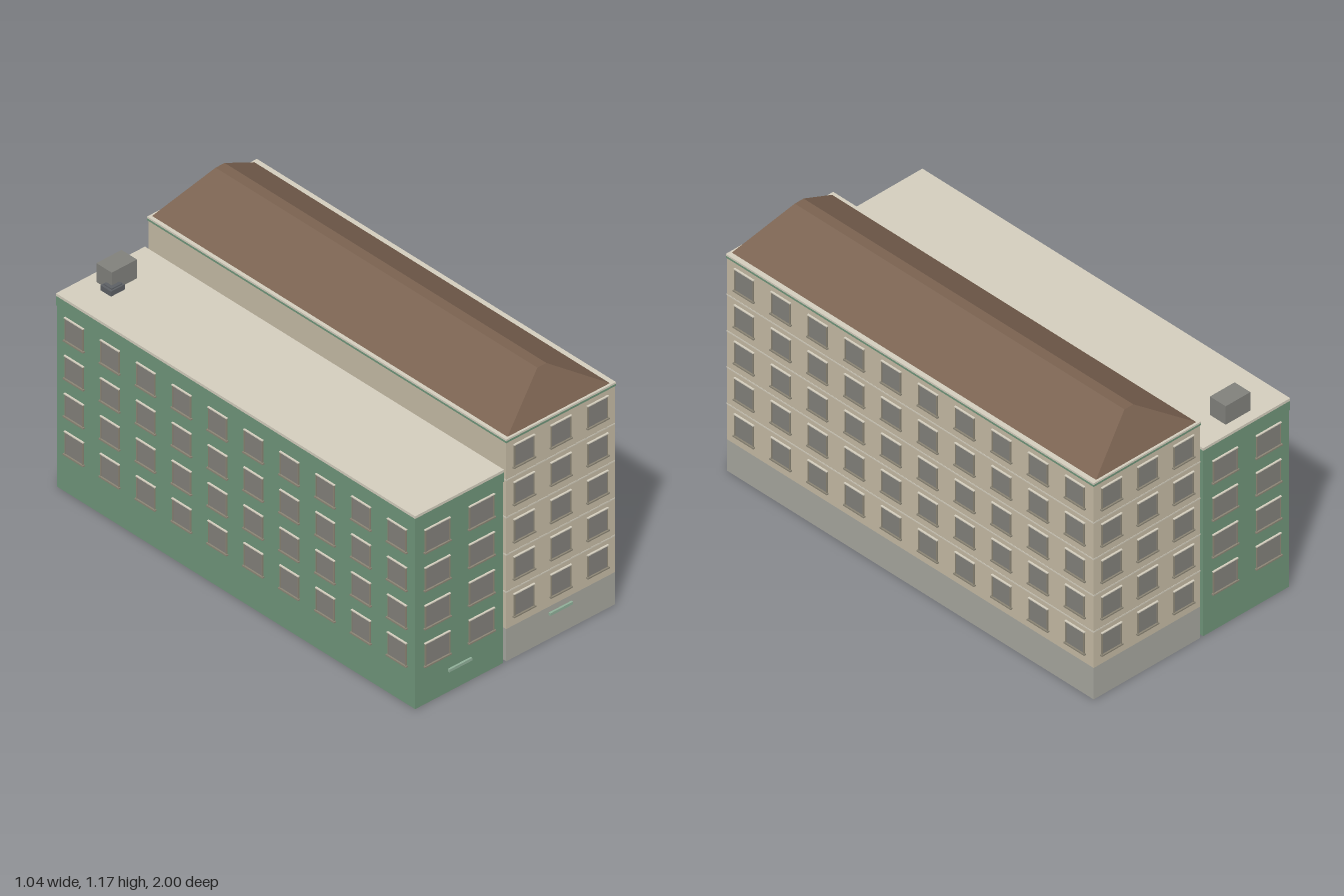
import * as THREE from 'three';

const mat = (color) => new THREE.MeshStandardMaterial({ color });
const GREEN = mat(0x6f9479), LIGHT_GREEN = mat(0x8fae98), CREAM = mat(0xc4baa4), PALE = mat(0xd3cdbd);
const STONE = mat(0xa6a69e), TILE = mat(0x7a6250), GLASS = mat(0x82807a), FRAME = mat(0x8a8474), METAL = mat(0x80807b);
const DARK = mat(0x5c5f64);

// Box given by its extents on each axis
function box(name, material, [x0, x1], [y0, y1], [z0, z1]) {
  const mesh = new THREE.Mesh(new THREE.BoxGeometry(x1 - x0, y1 - y0, z1 - z0), material);
  mesh.name = name;
  mesh.position.set((x0 + x1) / 2, (y0 + y1) / 2, (z0 + z1) / 2);
  return mesh;
}

// Window facing +z with its back on z = 0
function makeWindow(w, h) {
  const g = new THREE.Group();
  const t = 0.004, x = w / 2, y = h / 2;
  g.add(box('glass', GLASS, [-x, x], [-y, y], [0, 0.003]));
  for (const s of [-1, 1]) {
    const a = s * x, b = s * (x + t);
    g.add(box('frameSide', FRAME, [Math.min(a, b), Math.max(a, b)], [-y, y], [0, 0.006]));
  }
  g.add(box('sill', FRAME, [-x - 0.009, x + 0.009], [-y - 0.005, -y + 0.001], [0, 0.01]));
  g.add(box('lintel', PALE, [-x - 0.006, x + 0.006], [y, y + 0.004], [0, 0.008]));
  return g;
}

// Grid of copies of one window on a wall; place(u, y, copy) sets it on the wall
function windowWall(name, pattern, columns, rows, place) {
  const wall = new THREE.Group();
  wall.name = name;
  for (const u of columns) for (const y of rows) {
    const copy = pattern.clone();
    copy.name = 'window';
    place(u, y, copy);
    wall.add(copy);
  }
  return wall;
}

const DEPTH = 0.99;
const sideColumns = Array.from({ length: 10 }, (_, i) => -0.893 + i * 0.1985);
const onFront = (u, y, o) => o.position.set(u, y, DEPTH);
const onBack = (u, y, o) => { o.position.set(u, y, -DEPTH); o.rotation.y = Math.PI; };
const onSide = (x) => (u, y, o) => { o.position.set(x, y, u); o.rotation.y = Math.sign(x) * Math.PI / 2; };

// Hipped roof: a box with its top corners drawn in to a narrow ridge
function hippedRoof([x0, x1], [y0, y1], z, ridgeHalf, ridgeZ) {
  const roof = box('hippedRoof', TILE, [x0, x1], [y0, y1], [-z, z]);
  const p = roof.geometry.attributes.position;
  for (let i = 0; i < p.count; i++) {
    if (p.getY(i) > 0) {
      p.setX(i, Math.sign(p.getX(i)) * ridgeHalf);
      p.setZ(i, Math.sign(p.getZ(i)) * ridgeZ);
    }
  }
  roof.geometry.computeVertexNormals();
  return roof;
}

function tallBuilding() {
  const g = new THREE.Group();
  g.name = 'tallBuilding';
  const X = [-0.045, 0.507], Z = [-DEPTH, DEPTH];
  g.add(box('stoneBase', STONE, X, [0, 0.147], Z));
  g.add(box('walls', CREAM, X, [0.147, 1], Z));
  // Storey bands
  for (const y of [0.315, 0.485, 0.655, 0.825])
    g.add(box('storeyBand', PALE, [X[0] - 0.001, X[1] + 0.001], [y - 0.003, y + 0.003], [-DEPTH - 0.001, DEPTH + 0.001]));
  // Cornice and roof
  g.add(box('cornice', GREEN, [X[0] - 0.003, X[1] + 0.003], [0.997, 1.006], [-0.993, 0.993]));
  g.add(box('corniceCap', PALE, [X[0] - 0.003, X[1] + 0.003], [1.006, 1.014], [-0.993, 0.993]));
  g.add(hippedRoof([-0.032, 0.488], [1.014, 1.17], 0.983, 0.023, 0.89));
  // Windows
  const rows = [0.24, 0.41, 0.58, 0.75, 0.92], cols = [0.043, 0.23, 0.417];
  const pattern = makeWindow(0.094, 0.098);
  g.add(windowWall('frontWindows', pattern, cols, rows, onFront));
  g.add(windowWall('backWindows', pattern, cols, rows, onBack));
  g.add(windowWall('leftWindows', pattern, sideColumns, rows, onSide(X[1])));
  g.add(box('entranceLedge', LIGHT_GREEN, [0.171, 0.286], [0.109, 0.121], [DEPTH, 0.999]));
  return g;
}

function lowBuilding() {
  const g = new THREE.Group();
  g.name = 'lowBuilding';
  const X = [-0.508, -0.062], Z = [-DEPTH, DEPTH];
  g.add(box('walls', GREEN, X, [0, 0.872], Z));
  // Parapet band and flat roof
  g.add(box('parapet', GREEN, [X[0] - 0.003, X[1] + 0.003], [0.827, 0.87], [-0.993, 0.993]));
  g.add(box('flatRoof', PALE, [X[0] - 0.003, X[1] + 0.003], [0.87, 0.882], [-0.993, 0.993]));
  // Windows
  const rows = [0.226, 0.398, 0.571, 0.744], cols = [-0.398, -0.173];
  g.add(windowWall('frontWindows', makeWindow(0.118, 0.1), cols, rows, onFront));
  g.add(windowWall('backWindows', makeWindow(0.118, 0.1), cols, rows, onBack));
  g.add(windowWall('rightWindows', makeWindow(0.094, 0.1), sideColumns, rows, onSide(X[0])));
  g.add(box('entranceLedge', LIGHT_GREEN, [-0.342, -0.226], [0.094, 0.106], [DEPTH, 0.999]));
  // Rooftop equipment
  g.add(box('stairHousing', METAL, [-0.35, -0.222], [0.88, 0.968], [-0.945, -0.86]));
  g.add(box('ventUnit', DARK, [-0.375, -0.305], [0.88, 0.905], [-0.895, -0.837]));
  g.add(box('ventCap', DARK, [-0.365, -0.312], [0.905, 0.91], [-0.888, -0.844]));
  return g;
}

export function createModel() {
  const model = new THREE.Group();
  model.name = 'apartmentBuildings';
  model.add(tallBuilding(), lowBuilding());
  return model;
}
